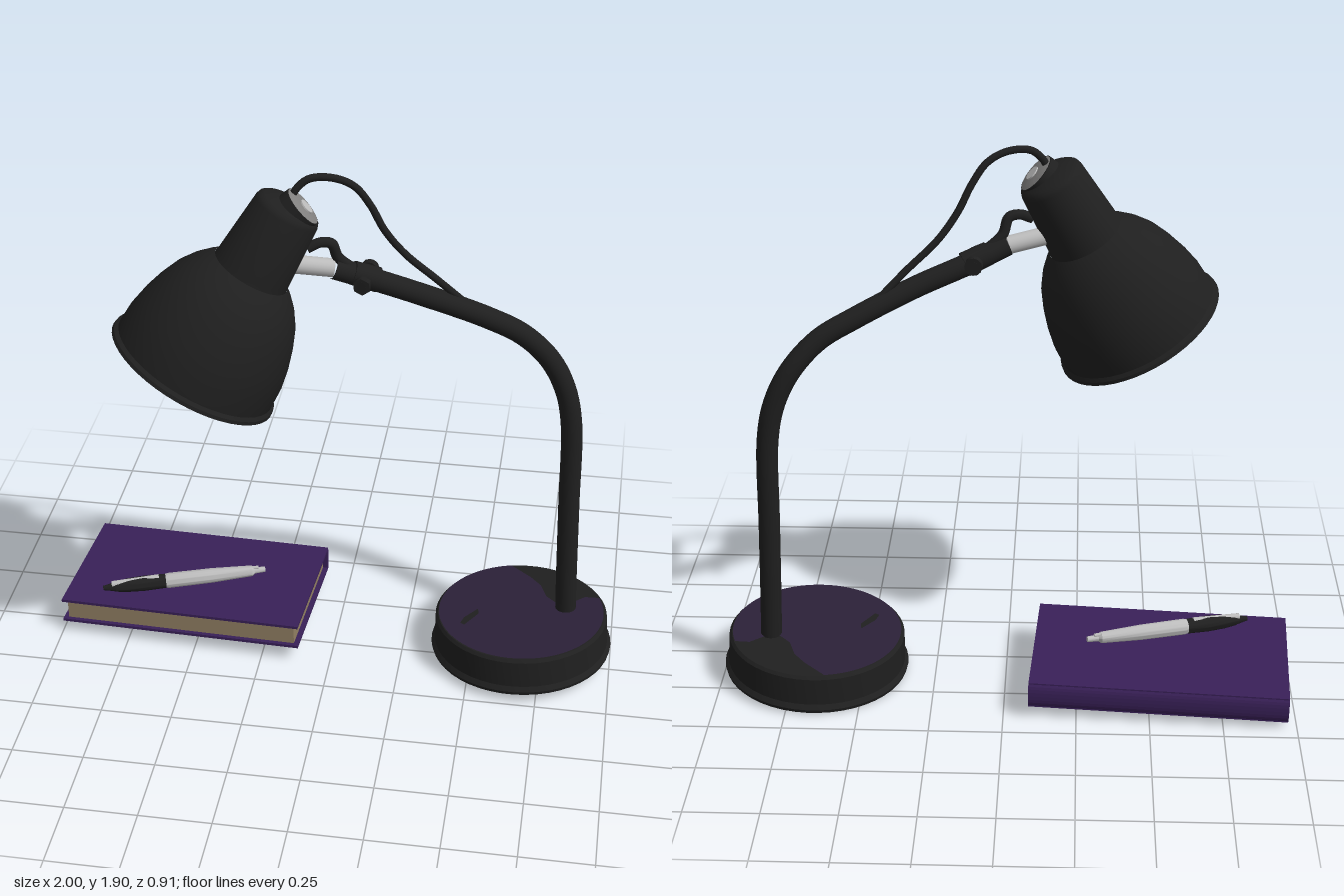
import * as THREE from 'three';
import { toCreasedNormals } from 'three/addons/utils/BufferGeometryUtils.js';

const mat = (name, color, side = THREE.FrontSide) => {
  const m = new THREE.MeshStandardMaterial({ color, side });
  m.name = name;
  return m;
};
const V = (x, y, z) => new THREE.Vector3(x, y, z);
const UP = V(0, 1, 0);

export function createModel() {
  const black = mat('black paint', 0x1f1f1f);
  const plum = mat('dark plum', 0x2b2138);
  const purple = mat('purple cover', 0x392058);
  const mauve = mat('pale purple underside', 0x705b86);
  const paper = mat('paper', 0x917f62);
  const silver = mat('silver', 0xbcbcbc);
  const inner = mat('shade lining', 0xaaa8a8);
  const grey = mat('grey cap', 0x828180);

  const root = new THREE.Group();
  root.name = 'deskLampWithBook';

  const add = (parent, name, geo, material, x = 0, y = 0, z = 0) => {
    const m = new THREE.Mesh(geo, material);
    m.name = name;
    m.position.set(x, y, z);
    parent.add(m);
    return m;
  };
  // group whose y axis points along "up", turned by yaw around it
  const tilted = (name, pos, up, yaw = 0) => {
    const g = new THREE.Group();
    g.name = name;
    g.position.copy(pos);
    g.quaternion.setFromUnitVectors(UP, up.clone().normalize())
      .multiply(new THREE.Quaternion().setFromAxisAngle(UP, yaw));
    root.add(g);
    return g;
  };
  const lathe = (pts, crease = 0.6) => toCreasedNormals(
    new THREE.LatheGeometry(pts.map(p => new THREE.Vector2(p[0], p[1])), 48), crease);
  // straight rod from a to b
  const rod = (parent, name, a, b, r1, r2, material, sides = 20) => {
    const d = b.clone().sub(a);
    const m = add(parent, name, new THREE.CylinderGeometry(r2, r1, d.length(), sides), material);
    m.position.copy(a).add(b).multiplyScalar(0.5);
    m.quaternion.setFromUnitVectors(UP, d.normalize());
    return m;
  };
  const tube = (name, pts, r, seg, sides, material) => add(root, name,
    new THREE.TubeGeometry(new THREE.CatmullRomCurve3(pts.map(p => V(...p))), seg, r, sides), material);

  // round foot, leaning slightly
  const base = tilted('base', V(0.675, 0.022, -0.087), V(-0.04, 1, -0.045));
  add(base, 'baseBody', lathe([[0, 0], [0.322, 0], [0.325, 0.012], [0.313, 0.028],
    [0.309, 0.125], [0.3, 0.135], [0, 0.135]]), black);
  // plum top, leaving the patch behind the post black
  const top = new THREE.Shape();
  top.absarc(0, 0, 0.297, 1.765, Math.PI * 2 + 0.378, false);
  [[0.225, 0.11], [0.145, 0.04], [0.085, 0.1], [0.06, 0.17], [0.02, 0.22]].forEach(p => top.lineTo(...p));
  top.closePath();
  add(base, 'baseTop', new THREE.ShapeGeometry(top, 48).rotateX(-Math.PI / 2), plum, 0, 0.138, 0);
  const mark = new THREE.Shape([[-0.21, -0.105], [-0.195, -0.115], [-0.15, -0.04], [-0.155, -0.01],
    [-0.2, -0.07]].map(p => new THREE.Vector2(...p)));
  add(base, 'baseMark', new THREE.ShapeGeometry(mark).rotateX(-Math.PI / 2), black, 0, 0.141, 0);

  // curved post and arm
  tube('arm', [[0.83, 0.1, -0.13], [0.822, 0.3, -0.137], [0.812, 0.6, -0.15], [0.80, 0.93, -0.164],
    [0.772, 1.06, -0.167], [0.715, 1.175, -0.161], [0.62, 1.278, -0.138], [0.5, 1.347, -0.113],
    [0.3, 1.44, -0.06], [0.13, 1.508, -0.022], [0, 1.563, 0.02]], 0.037, 80, 20, black);

  // joint between arm and head
  rod(root, 'jointPin', V(0.0, 1.562, 0.018), V(-0.13, 1.585, 0.055), 0.031, 0.031, silver);
  rod(root, 'armCollar', V(0.14, 1.507, -0.025), V(0.06, 1.54, 0), 0.042, 0.04, black);
  rod(root, 'clampBolt', V(0.11, 1.52, -0.085), V(0.095, 1.52, 0.06), 0.018, 0.018, black, 12);
  rod(root, 'clampKnob', V(0.108, 1.52, -0.085), V(0.106, 1.52, -0.06), 0.03, 0.03, black, 12);
  rod(root, 'clampNut', V(0.1, 1.52, 0.035), V(0.098, 1.52, 0.06), 0.03, 0.03, black, 6);
  tube('bracket', [[-0.08, 1.645, 0.055], [-0.04, 1.662, 0.04], [-0.005, 1.655, 0.028],
    [0.015, 1.6, 0.015], [0.07, 1.55, 0]], 0.018, 24, 8, black);

  // lamp head: y runs from the rim up to the socket
  const head = tilted('head', V(-0.45, 1.22, 0.16), V(0.32, 0.58, -0.11));
  const shade = [[0.292, 0], [0.301, 0.004], [0.299, 0.016], [0.288, 0.026], [0.284, 0.1], [0.27, 0.17],
    [0.25, 0.235], [0.223, 0.3], [0.19, 0.35], [0.155, 0.388], [0.133, 0.405]];
  add(head, 'shade', lathe(shade), black);
  add(head, 'shadeLining', lathe([[0, 0.4], [0.12, 0.385], [0.18, 0.345], [0.213, 0.295], [0.24, 0.23],
    [0.26, 0.165], [0.275, 0.095], [0.28, 0.026], [0.292, 0]]), inner);
  add(head, 'socket', lathe([[0.133, 0.4], [0.13, 0.42], [0.113, 0.64], [0.108, 0.654],
    [0.095, 0.664], [0.05, 0.678], [0, 0.684]]), black);
  // slanted grey cap with a bright centre, set in a black ring
  const cap = new THREE.Group();
  cap.name = 'socketCap';
  cap.position.set(0.035, 0.685, 0.012);
  cap.rotation.z = -0.33;
  head.add(cap);
  add(cap, 'capRing', new THREE.CylinderGeometry(0.072, 0.074, 0.04, 32), black, 0, -0.02, 0);
  add(cap, 'capFace', lathe([[0.069, 0.001], [0.05, 0.006], [0, 0.009]], 1.2), grey);
  add(cap, 'capCentre', new THREE.CylinderGeometry(0.026, 0.026, 0.006, 24), silver, 0.008, 0.009, 0);

  // power cable looping back to the arm
  tube('cable', [[-0.135, 1.81, 0.05], [-0.115, 1.85, 0.045], [-0.075, 1.883, 0.035], [0, 1.883, 0.018],
    [0.065, 1.85, 0], [0.115, 1.78, -0.015], [0.16, 1.69, -0.025], [0.225, 1.6, -0.045],
    [0.33, 1.5, -0.07], [0.43, 1.4, -0.1]], 0.0125, 64, 10, black);

  // book: spine along the back, pages showing on the other three sides
  const book = tilted('book', V(-0.542, 0.092, -0.162), V(-0.015, 1, -0.035), -0.055);
  const W = 0.885, D = 0.525, H = 0.094, T = 0.01;
  add(book, 'pages', new THREE.BoxGeometry(W - 0.035, H - 2 * T, D - 0.03), paper);
  add(book, 'frontCover', new THREE.BoxGeometry(W, T, D), purple, 0, (H - T) / 2, 0);
  add(book, 'backCover', new THREE.BoxGeometry(W, T, D),
    [purple, purple, purple, mauve, purple, purple], 0, (T - H) / 2, 0);
  const spine = new THREE.Shape();
  spine.moveTo(0, -H / 2);
  spine.quadraticCurveTo(0.022, -H / 2, 0.022, 0);
  spine.quadraticCurveTo(0.022, H / 2, 0, H / 2);
  spine.closePath();
  add(book, 'spine', new THREE.ExtrudeGeometry(spine, { depth: W, bevelEnabled: false, curveSegments: 6 })
    .translate(0, 0, -W / 2).rotateY(Math.PI / 2), purple, 0, 0, -D / 2 + 0.012);

  // pen lying on the cover, y runs from the tip to the button
  const pen = tilted('pen', V(-0.855, 0.168, 0.018), V(0.57, 0.012, -0.19));
  add(pen, 'penTip', lathe([[0, 0], [0.008, 0], [0.012, 0.02], [0.019, 0.05]]), black);
  add(pen, 'penGrip', lathe([[0.019, 0.045], [0.025, 0.09], [0.028, 0.15], [0.026, 0.23]]), black);
  add(pen, 'penBarrel', lathe([[0.025, 0.228], [0.028, 0.24], [0.027, 0.4], [0.02, 0.55],
    [0.012, 0.56], [0.01, 0.6], [0, 0.6]]), silver);
  // bright inlay along the upper side of the grip
  const inlay = rod(root, 'penGripInlay', V(-0.825, 0.181, 0.008), V(-0.66, 0.189, -0.047), 0.012, 0.014, silver, 12);
  const clip = rod(root, 'penClip', V(-0.5, 0.195, -0.1), V(-0.31, 0.191, -0.164), 0.007, 0.007, silver, 8);
  pen.attach(inlay);
  pen.attach(clip);

  return root;
}
